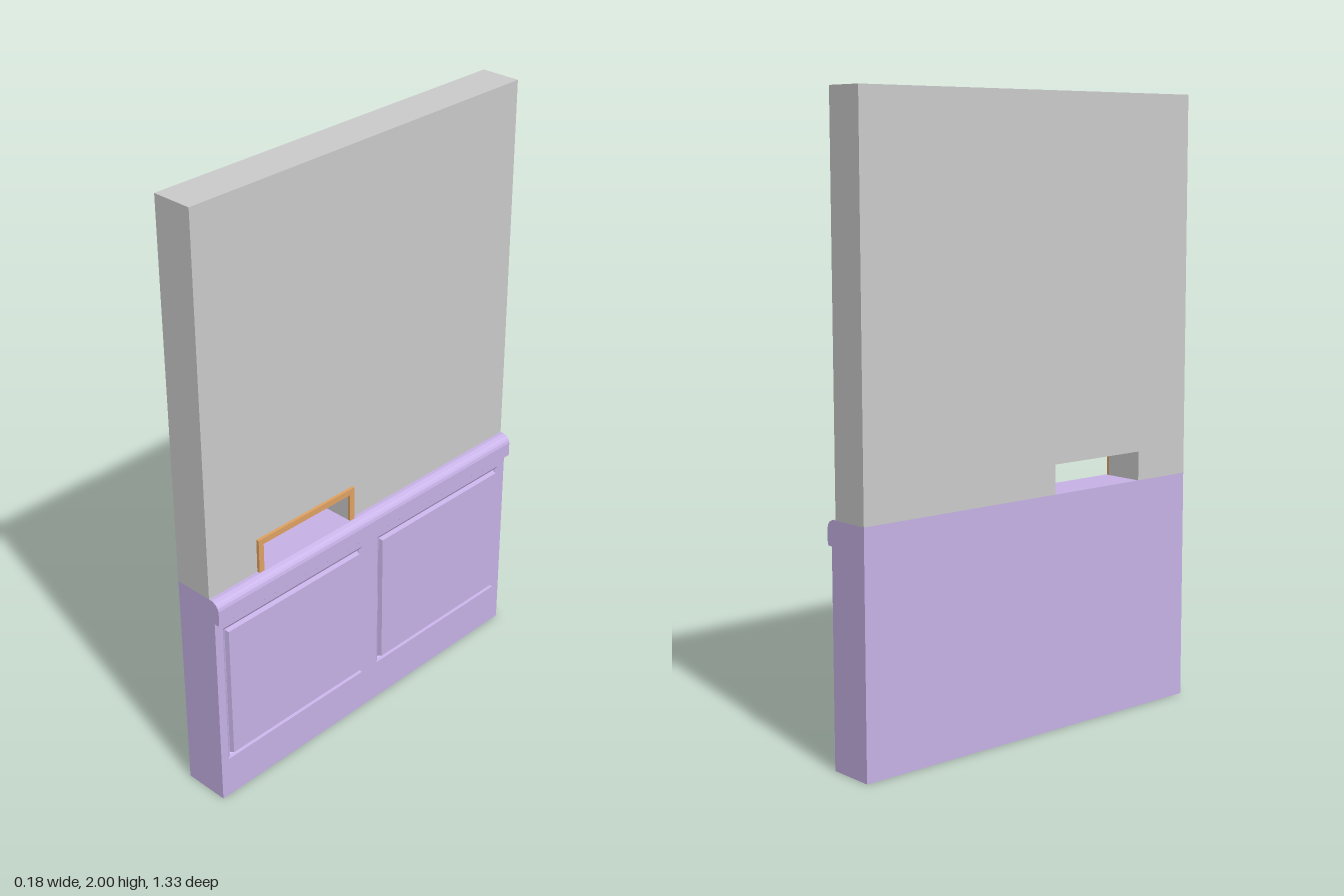
import * as THREE from 'three';

const HALF = 0.665;      // half the wall length along z
const BACK = -0.09;      // rear face
const FACE = 0.045;      // face of the upper wall
const DADO = 0.065;      // face of the panelling
const LEDGE = 0.76;      // height of the panelling

const grey = new THREE.MeshStandardMaterial({ color: 0xcccccc });
const lilac = new THREE.MeshStandardMaterial({ color: 0xc7b2e7 });
const wood = new THREE.MeshStandardMaterial({ color: 0xe0a264 });

const rect = (z0, z1, y0, y1) => [[-z0, y0], [-z1, y0], [-z1, y1], [-z0, y1]];
const toShape = (pts) => new THREE.Shape(pts.map(([u, y]) => new THREE.Vector2(u, y)));

// Slab outlined in the side plane (u = -z, y), spanning x0 to x1
function slab(shape, x0, x1) {
  const g = new THREE.ExtrudeGeometry(shape, { depth: x1 - x0, bevelEnabled: false });
  return g.translate(0, 0, x0).rotateY(Math.PI / 2);
}

// Outline of a wall portion with a notch cut up from its lower edge
function notched(z0, z1, y0, y1, n0, n1, top) {
  return toShape([[-z1, y0], [-n1, y0], [-n1, top], [-n0, top], [-n0, y0],
    [-z0, y0], [-z0, y1], [-z1, y1]]);
}

// Sunk groove and raised field, as nested rectangles of [inset, x]
function panelGeometry(z0, z1, y0, y1) {
  const steps = [[0, DADO], [0.009, 0.06], [0.012, 0.055], [0.015, 0.055], [0.019, 0.07]];
  const loops = steps.map(([d, x]) => [
    [x, y0 + d, z1 - d], [x, y0 + d, z0 + d], [x, y1 - d, z0 + d], [x, y1 - d, z1 - d]]);
  const pos = [];
  const quad = (a, b, c, d) => pos.push(...a, ...b, ...c, ...a, ...c, ...d);
  for (let i = 0; i < loops.length - 1; i++) {
    for (let k = 0; k < 4; k++) {
      const n = (k + 1) % 4;
      quad(loops[i][k], loops[i][n], loops[i + 1][n], loops[i + 1][k]);
    }
  }
  quad(...loops[loops.length - 1]);
  const g = new THREE.BufferGeometry();
  g.setAttribute('position', new THREE.Float32BufferAttribute(pos, 3));
  g.computeVertexNormals();
  return g;
}

export function createModel() {
  const model = new THREE.Group();
  model.name = 'panelledWall';
  const add = (name, geometry, material, parent = model) => {
    const mesh = new THREE.Mesh(geometry, material);
    mesh.name = name;
    parent.add(mesh);
  };

  // Upper wall with the serving hatch cut through it
  add('upperWall', slab(notched(-HALF, HALF, LEDGE, 2, 0.08, 0.45, 0.855), BACK, FACE), grey);

  // Wooden trim around the hatch
  add('hatchFrame', slab(notched(0.06, 0.47, LEDGE - 0.01, 0.875, 0.08, 0.45, 0.855), FACE, 0.055), wood);

  // Lower wall
  const dado = new THREE.Group();
  dado.name = 'panelling';
  model.add(dado);
  add('lowerWall', slab(toShape(rect(-HALF, HALF, 0, LEDGE)), BACK, FACE), lilac, dado);

  // Face board with two panel openings, each filled by a raised panel
  const board = toShape(rect(-HALF, HALF, 0, 0.69));
  for (const [name, z0, z1] of [['frontPanel', 0.035, 0.635], ['rearPanel', -0.635, -0.035]]) {
    board.holes.push(new THREE.Path(rect(z0, z1, 0.143, 0.646).map(([u, y]) => new THREE.Vector2(u, y))));
    add(name, panelGeometry(z0, z1, 0.143, 0.646), lilac, dado);
  }
  add('faceBoard', slab(board, FACE, DADO), lilac, dado);

  // Rounded ledge moulding along the top
  const profile = toShape([[FACE, 0.68], [0.08, 0.68], [0.085, 0.685], [0.085, 0.733],
    [0.082, 0.743], [0.077, 0.75], [0.07, 0.755], [0.058, LEDGE], [FACE, LEDGE]]);
  const ledge = new THREE.ExtrudeGeometry(profile, { depth: 2 * HALF, bevelEnabled: false });
  add('ledgeMoulding', ledge.translate(0, 0, -HALF), lilac, dado);

  return model;
}
